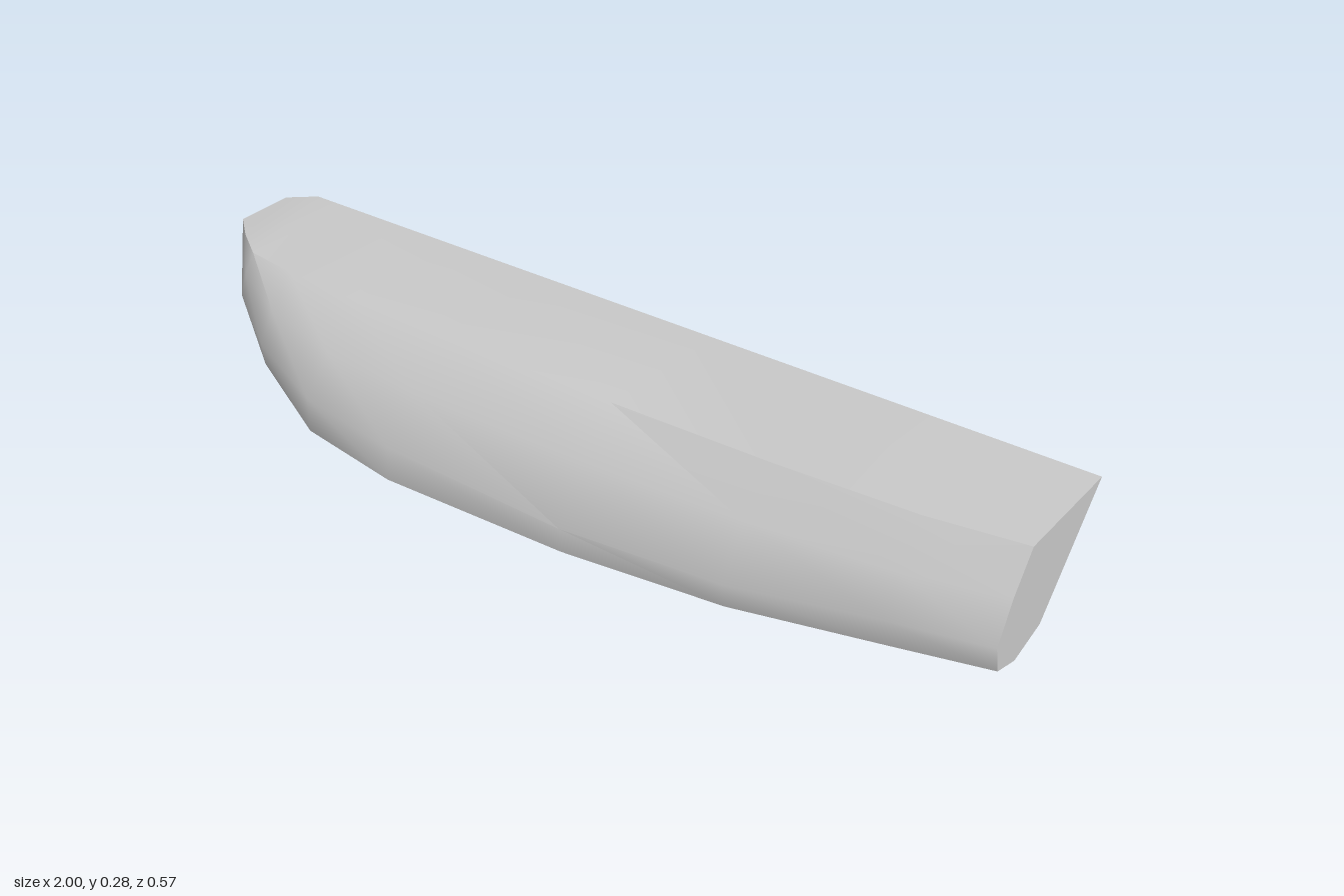
import * as THREE from 'three';
import { toCreasedNormals } from 'three/addons/utils/BufferGeometryUtils.js';

// Cross-sections from the broad end towards the bow, as x then [z, y] corners:
// front rim, upper side, chine, lower chine, keel, rear foot
const stations = [
  [1, [-0.012, 0.25], [0.045, 0.17], [0.087, 0.083], [0.07, 0.02], [0, 0], [-0.095, 0.025]],
  [0.8, [0.035, 0.259], [0.103, 0.173], [0.145, 0.088], [0.13, 0.022], [0.05, 0.001], [-0.075, 0.02]],
  [0.5, [0.072, 0.272], [0.152, 0.18], [0.22, 0.075], [0.205, 0.015], [0.11, 0.001], [-0.03, 0.013]],
  [0.15, [0.098, 0.283], [0.19, 0.19], [0.265, 0.077], [0.258, 0.018], [0.165, 0.001], [0.005, 0.01]],
  [-0.28, [0.1, 0.283], [0.197, 0.194], [0.28, 0.1], [0.285, 0.026], [0.238, 0.005], [0.045, 0.012]],
  [-0.52, [0.1, 0.283], [0.194, 0.199], [0.263, 0.12], [0.262, 0.04], [0.217, 0.027], [0.057, 0.034]],
  [-0.72, [0.092, 0.283], [0.155, 0.216], [0.195, 0.15], [0.188, 0.097], [0.16, 0.089], [-0.01, 0.098]],
  [-0.85, [0.075, 0.282], [0.103, 0.24], [0.12, 0.195], [0.11, 0.16], [0.09, 0.155], [-0.08, 0.162]],
  [-0.93, [0.02, 0.28], [0.03, 0.255], [0.035, 0.235], [0.028, 0.213], [0.015, 0.209], [-0.13, 0.214]],
];

// The rear rim is one straight line along the hull
const rearRim = (x) => [-0.251 - 0.039 * x, 0.267 - 0.017 * x];

// Every section as a closed ring of [x, y, z], finished by a thin blunt tip
function hullRings() {
  const rings = stations.map(([x, ...side]) =>
    [rearRim(x), ...side].map(([z, y]) => [x, y, z]));
  const tip = [[-1, 0.273, -0.18]];
  for (let i = 0; i < 5; i++) tip.push([-1, 0.273 - 0.0015 * i, -0.04]);
  tip.push([-1, 0.267, -0.16]);
  return [...rings, tip];
}

function loft(rings) {
  const n = rings[0].length;
  const last = (rings.length - 1) * n;
  const index = [];
  // skin between neighbouring sections
  for (let s = 0; s < rings.length - 1; s++) {
    for (let i = 0; i < n; i++) {
      const j = (i + 1) % n;
      const a = s * n + i, b = s * n + j, c = a + n, d = b + n;
      index.push(a, c, b, b, c, d);
    }
  }
  // end caps
  for (let i = 1; i < n - 1; i++) {
    index.push(0, i, i + 1);
    index.push(last, last + i + 1, last + i);
  }
  const geometry = new THREE.BufferGeometry();
  geometry.setAttribute('position', new THREE.Float32BufferAttribute(rings.flat(2), 3));
  geometry.setIndex(index);
  return toCreasedNormals(geometry, 0.85);
}

export function createModel() {
  const group = new THREE.Group();
  group.name = 'leaningHull';
  const grey = new THREE.MeshStandardMaterial({ color: 0xc8c8c8 });
  grey.name = 'lightGrey';

  const hull = new THREE.Mesh(loft(hullRings()), grey);
  hull.name = 'hull';
  group.add(hull);
  return group;
}
